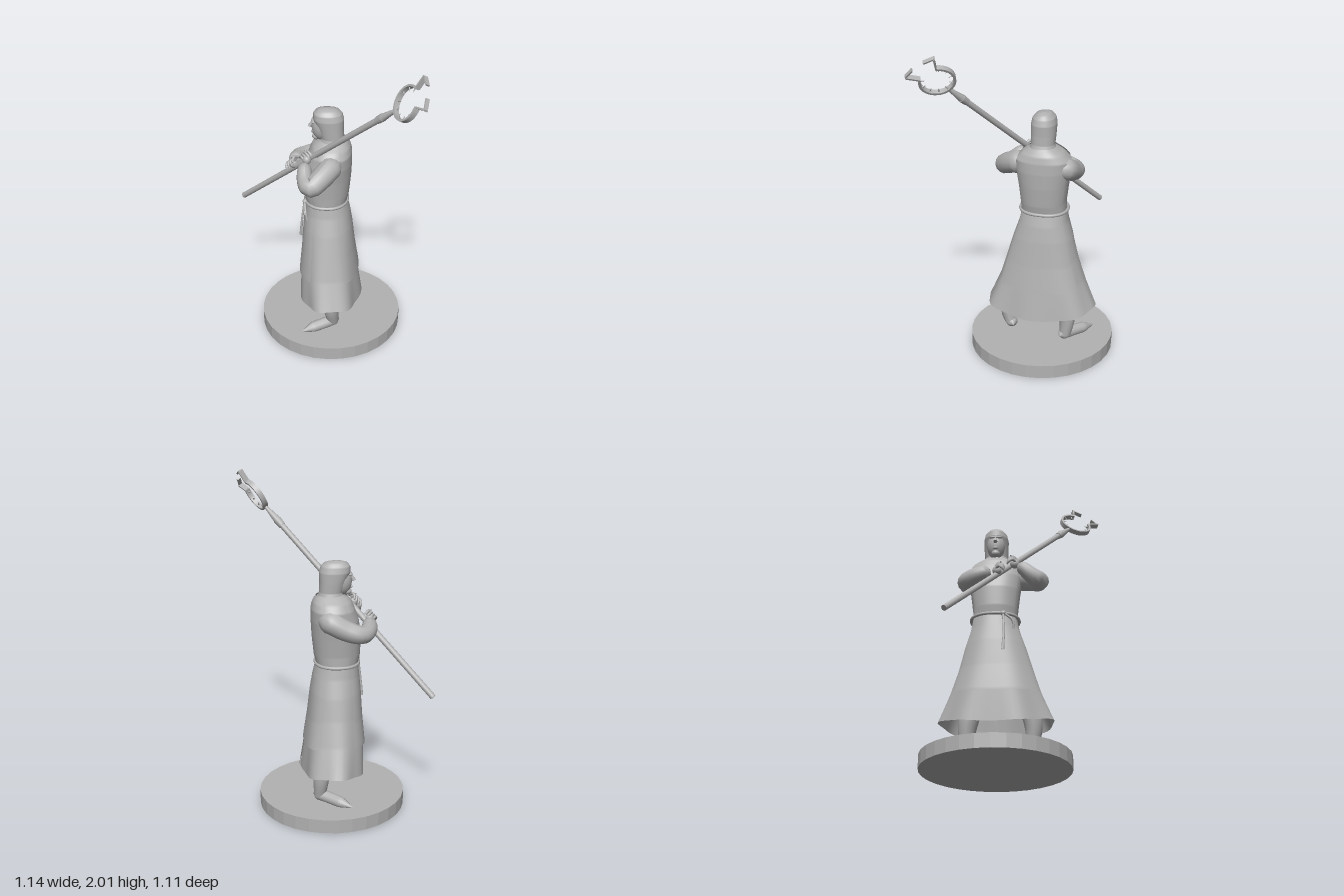
import * as THREE from 'three';
import { ParametricGeometry } from 'three/addons/geometries/ParametricGeometry.js';

export function createModel() {
  const root = new THREE.Group();
  const stone = new THREE.MeshStandardMaterial({ color: 0xb2b2b2, side: THREE.DoubleSide });
  stone.name = 'grey stone';
  const V = (x, y, z) => new THREE.Vector3(x, y, z);

  const add = (name, geo, parent = root) => {
    const m = new THREE.Mesh(geo, stone);
    m.name = name;
    parent.add(m);
    return m;
  };
  const ball = (name, c, r, parent) => {
    const m = add(name, new THREE.SphereGeometry(1, 24, 16), parent);
    m.position.set(...c);
    m.scale.set(...r);
    return m;
  };
  // Straight tapered rod between two points
  const rod = (name, a, b, ra, rb, parent) => {
    const d = b.clone().sub(a);
    const m = add(name, new THREE.CylinderGeometry(rb, ra, d.length(), 12), parent);
    m.position.copy(a).add(b).multiplyScalar(0.5);
    m.quaternion.setFromUnitVectors(V(0, 1, 0), d.normalize());
    return m;
  };
  // Curved limb: points are [x, y, z, radius]; nothing drops below the floor
  const limb = (name, pts, floor = 0, segs = 24, sides = 14) => {
    const curve = new THREE.CatmullRomCurve3(pts.map(p => V(p[0], p[1], p[2])));
    const geo = new THREE.TubeGeometry(curve, segs, 1, sides);
    const pos = geo.attributes.position, v = V(0, 0, 0);
    for (let i = 0; i <= segs; i++) {
      const c = curve.getPointAt(i / segs);
      const t = curve.getUtoTmapping(i / segs) * (pts.length - 1);
      const k = Math.min(Math.floor(t), pts.length - 2);
      const r = THREE.MathUtils.lerp(pts[k][3], pts[k + 1][3], t - k);
      for (let j = 0; j <= sides; j++) {
        const n = i * (sides + 1) + j;
        v.fromBufferAttribute(pos, n).sub(c).multiplyScalar(r).add(c);
        pos.setXYZ(n, v.x, Math.max(v.y, floor), v.z);
      }
    }
    geo.computeVertexNormals();
    return add(name, geo);
  };

  // Cross-sections are [y, back to front x range, z range]
  const section = (rows, y) => {
    let i = 0;
    while (i < rows.length - 2 && y > rows[i + 1][0]) i++;
    const t = THREE.MathUtils.clamp((y - rows[i][0]) / (rows[i + 1][0] - rows[i][0]), 0, 1);
    const [x0, x1, z0, z1] = [1, 2, 3, 4].map(k => THREE.MathUtils.lerp(rows[i][k], rows[i + 1][k], t));
    return [(x0 + x1) / 2, (z0 + z1) / 2, (x1 - x0) / 2, (z1 - z0) / 2];
  };
  const soft = c => Math.sign(c) * Math.abs(c) ** 0.88;
  // Cloth surface over the cross-sections; flare adds folds towards the hem
  const cloth = (name, rows, yLow, yHigh, a0, a1, off, flare, slices = 64, stacks = 30) =>
    add(name, new ParametricGeometry((u, v, out) => {
      const a = a0 + (a1 - a0) * u;
      let y = yLow + (yHigh - yLow) * v;
      const [cx, cz, rx, rz] = section(rows, y);
      const t = flare * Math.max(0, (0.93 - y) / 0.66);
      const fold = off + t * t * (0.008 * Math.sin(7 * a + 1) + 0.045 * Math.exp(-(((a + 0.65) / 0.4) ** 2)));
      y -= flare * (1 - v) ** 4 * 0.022 * Math.cos(2 * a);
      out.set(cx + (rx + fold) * soft(Math.cos(a)), y, cz + (rz + fold) * soft(Math.sin(a)));
    }, slices, stacks));

  // Round base with faceted rim
  const base = new THREE.CylinderGeometry(0.447, 0.447, 0.085, 32).toNonIndexed();
  base.computeVertexNormals();
  add('base', base).position.set(0.025, 0.0425, -0.11);

  // Robe skirt and its overlying front and back panels
  const skirt = [
    [0.26, -0.165, 0.215, -0.445, 0.235], [0.45, -0.165, 0.188, -0.375, 0.16],
    [0.6, -0.15, 0.165, -0.33, 0.115], [0.75, -0.14, 0.148, -0.295, 0.07],
    [0.85, -0.13, 0.132, -0.265, 0.035], [0.93, -0.122, 0.112, -0.25, 0.018],
  ];
  cloth('robeSkirt', skirt, 0.265, 0.93, 0, 2 * Math.PI, 0, 1);
  cloth('backSkirtPanel', skirt, 0.44, 0.925, -1.0, 1.0, 0.01, 0.6);
  cloth('frontSkirtPanel', skirt, 0.44, 0.925, Math.PI - 1.0, Math.PI + 1.0, 0.01, 0.6);

  // Torso with tabard panels
  const torso = [
    [0.92, -0.122, 0.112, -0.25, 0.018], [0.98, -0.135, 0.125, -0.25, 0.022],
    [1.1, -0.14, 0.137, -0.265, 0.035], [1.2, -0.125, 0.142, -0.28, 0.05],
    [1.27, -0.1, 0.14, -0.28, 0.05], [1.305, -0.085, 0.132, -0.25, 0.02],
    [1.335, -0.06, 0.115, -0.205, -0.025], [1.36, -0.03, 0.09, -0.165, -0.06],
  ];
  cloth('torso', torso, 0.92, 1.36, 0, 2 * Math.PI, 0, 0);
  cloth('backTabard', torso, 0.935, 1.34, -1.05, 1.05, 0.009, 0);
  cloth('frontTabard', torso, 0.935, 1.34, Math.PI - 0.95, Math.PI + 0.95, 0.009, 0);

  // Belt cord with knot and hanging ends
  const beltLoop = [];
  for (let i = 0; i < 24; i++) {
    const a = i * Math.PI / 12;
    beltLoop.push(V(-0.005 + 0.13 * soft(Math.cos(a)), 0.928, -0.116 + 0.145 * soft(Math.sin(a))));
  }
  add('belt', new THREE.TubeGeometry(new THREE.CatmullRomCurve3(beltLoop, true), 80, 0.01, 8, true));
  ball('beltKnot', [-0.135, 0.925, -0.06], [0.016, 0.016, 0.018]);
  limb('longCordEnd', [[-0.14, 0.92, -0.06, 0.007], [-0.155, 0.8, -0.055, 0.007], [-0.165, 0.68, -0.06, 0.009]]);
  limb('shortCordEnd', [[-0.137, 0.92, -0.05, 0.007], [-0.13, 0.88, -0.005, 0.007], [-0.12, 0.83, 0.003, 0.008]]);

  // Head: hood, face, brow, nose and chin
  const hood = [
    [1.325, -0.05, 0.112, -0.195, -0.03], [1.36, -0.04, 0.1, -0.184, -0.04],
    [1.42, -0.058, 0.098, -0.188, -0.038], [1.48, -0.085, 0.1, -0.19, -0.036],
    [1.515, -0.085, 0.09, -0.182, -0.044], [1.535, -0.07, 0.072, -0.165, -0.061],
    [1.547, -0.035, 0.035, -0.135, -0.09], [1.549, 0, 0.002, -0.114, -0.112],
  ];
  cloth('hood', hood, 1.325, 1.549, 0, 2 * Math.PI, 0, 0, 40, 32);
  ball('face', [-0.035, 1.43, -0.113], [0.06, 0.09, 0.056]);
  ball('chin', [-0.068, 1.362, -0.113], [0.025, 0.022, 0.026]);
  ball('brow', [-0.083, 1.468, -0.113], [0.014, 0.01, 0.042]);
  ball('mouth', [-0.09, 1.392, -0.113], [0.008, 0.007, 0.02]);
  rod('nose', V(-0.088, 1.465, -0.113), V(-0.106, 1.427, -0.113), 0.006, 0.013);

  // Arms in wide sleeves
  limb('leftSleeve', [[0.05, 1.22, -0.01, 0.04], [0.03, 1.225, 0.03, 0.07], [-0.03, 1.19, 0.11, 0.066],
    [-0.09, 1.155, 0.155, 0.06], [-0.122, 1.18, 0.11, 0.05], [-0.128, 1.235, 0.05, 0.04], [-0.124, 1.25, 0.035, 0.018]]);
  limb('rightSleeve', [[0.07, 1.21, -0.2, 0.04], [0.05, 1.215, -0.245, 0.07], [-0.05, 1.165, -0.275, 0.062],
    [-0.14, 1.14, -0.28, 0.054], [-0.183, 1.15, -0.23, 0.05], [-0.198, 1.168, -0.155, 0.044], [-0.2, 1.172, -0.135, 0.018]]);

  // Hands with fingers curled around the pole
  const hand = (name, [x, y, z], side) => {
    ball(name + 'Palm', [x, y, z], [0.026, 0.03, 0.028]);
    for (let i = 0; i < 4; i++) {
      const fx = x - 0.012 + i * 0.013, fy = y - 0.012 + i * 0.013;
      limb(name + 'Finger', [[fx, fy + 0.012, z + side * 0.01, 0.009], [fx - 0.022, fy + 0.026, z - side * 0.012, 0.009],
        [fx - 0.03, fy + 0.01, z - side * 0.034, 0.008], [fx - 0.022, fy - 0.006, z - side * 0.046, 0.004]], 0, 10, 8);
    }
    limb(name + 'Thumb', [[x, y, z, 0.012], [x + 0.005, y + 0.035, z - side * 0.01, 0.01], [x - 0.012, y + 0.055, z - side * 0.025, 0.004]], 0, 10, 8);
  };
  hand('leftHand', [-0.118, 1.262, 0.008], 1);
  hand('rightHand', [-0.205, 1.175, -0.095], -1);

  // Legs and shoes
  limb('leftLeg', [[0.03, 0.55, 0.05, 0.07], [0.03, 0.32, 0.105, 0.06], [0.035, 0.22, 0.11, 0.048], [0.045, 0.12, 0.09, 0.036]]);
  limb('rightLeg', [[0.09, 0.55, -0.22, 0.07], [0.1, 0.32, -0.28, 0.06], [0.105, 0.22, -0.29, 0.048], [0.112, 0.12, -0.28, 0.036]]);
  limb('leftShoe', [[0.083, 0.115, 0.062, 0.004], [0.06, 0.12, 0.075, 0.036], [0, 0.115, 0.11, 0.036],
    [-0.08, 0.105, 0.15, 0.034], [-0.145, 0.094, 0.185, 0.004]], 0.086);
  limb('rightShoe', [[0.148, 0.115, -0.25, 0.004], [0.125, 0.12, -0.265, 0.036], [0.07, 0.115, -0.305, 0.036],
    [-0.01, 0.105, -0.37, 0.034], [-0.075, 0.094, -0.42, 0.004]], 0.086);

  // Pole with socket, all along one slanted line
  const onPole = x => V(x, 0.77 + (x + 0.555) * 1.066, -0.365 + (x + 0.555) * 0.75);
  rod('pole', onPole(-0.555), onPole(0.32), 0.018, 0.018);
  rod('poleCollar', onPole(0.295), onPole(0.325), 0.021, 0.025);
  rod('poleSocket', onPole(0.325), onPole(0.4), 0.023, 0.009);

  // Open ring head: local y runs along the pole
  const along = V(1, 1.066, 0.75).normalize();
  const across = V(0, -along.z, along.y).normalize();
  const catcher = new THREE.Group();
  catcher.name = 'catchingHead';
  catcher.quaternion.setFromRotationMatrix(
    new THREE.Matrix4().makeBasis(across, along, across.clone().cross(along)));
  catcher.position.copy(onPole(0.455));
  root.add(catcher);
  const plate = (name, shape, depth) => {
    const g = new THREE.ExtrudeGeometry(shape, { depth, bevelEnabled: false, curveSegments: 36 });
    add(name, g.translate(0, 0, -depth / 2), catcher);
  };
  const gap = 0.62, up = Math.PI / 2;
  const ring = new THREE.Shape();
  ring.absarc(0, 0, 0.105, up + gap, up - gap + 2 * Math.PI, false);
  ring.absarc(0, 0, 0.092, up - gap + 2 * Math.PI, up + gap, true);
  plate('ring', ring, 0.032);
  for (const s of [-1, 1]) {
    const shape = pts => new THREE.Shape(pts.map(p => new THREE.Vector2(s * p[0], p[1])));
    plate('prong', shape([[0.054, 0.08], [0.062, 0.075], [0.106, 0.146], [0.096, 0.15]]), 0.032);
    plate('barb', shape([[0.106, 0.142], [0.102, 0.152], [0.04, 0.168], [0.04, 0.158]]), 0.024);
  }
  // Inward spikes
  for (let i = 0; i < 9; i++) {
    const a = up + gap + 0.2 + i * (2 * Math.PI - 2 * gap - 0.4) / 8;
    const at = r => V(r * Math.cos(a), r * Math.sin(a), 0);
    rod('spike', at(0.095), at(0.066), 0.006, 0.0005, catcher);
  }
  return root;
}
